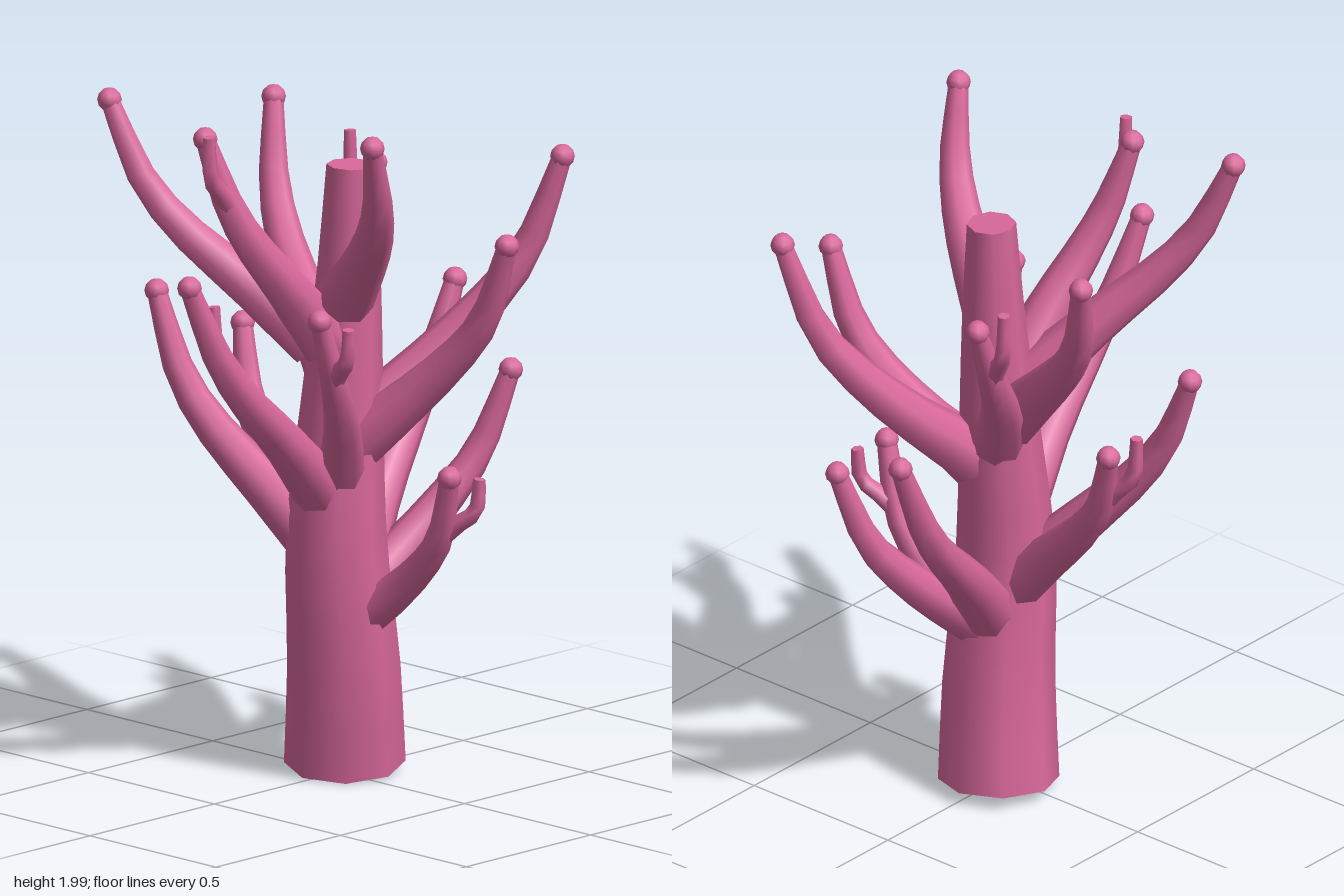
import * as THREE from 'three';
import { mergeGeometries } from 'three/addons/utils/BufferGeometryUtils.js';

const pink = new THREE.MeshStandardMaterial({ color: 0xd9689b });
pink.name = 'coral pink';

// Tapered tube through points, closed by flat caps; radii are spread evenly along it
function taperedTube(points, radii, segments, sides) {
  const curve = new THREE.CatmullRomCurve3(points);
  const tube = new THREE.TubeGeometry(curve, segments, 1, sides);
  const pos = tube.attributes.position;
  const v = new THREE.Vector3();
  for (let i = 0; i <= segments; i++) {
    const centre = curve.getPointAt(i / segments);
    const t = (i / segments) * (radii.length - 1);
    const k = Math.min(Math.floor(t), radii.length - 2);
    const r = THREE.MathUtils.lerp(radii[k], radii[k + 1], t - k);
    for (let j = 0; j <= sides; j++) {
      const n = i * (sides + 1) + j;
      v.fromBufferAttribute(pos, n).sub(centre).multiplyScalar(r).add(centre);
      pos.setXYZ(n, v.x, v.y, v.z);
    }
  }
  // End caps as fans whose winding is checked against the outward direction
  const caps = [];
  for (const end of [0, 1]) {
    const centre = curve.getPointAt(end);
    const outward = curve.getTangentAt(end).multiplyScalar(end ? 1 : -1);
    for (let j = 0; j < sides; j++) {
      const n = end * segments * (sides + 1) + j;
      const a = new THREE.Vector3().fromBufferAttribute(pos, n);
      const b = new THREE.Vector3().fromBufferAttribute(pos, n + 1);
      const normal = a.clone().sub(centre).cross(b.clone().sub(centre));
      caps.push(...(normal.dot(outward) > 0 ? [centre, a, b] : [centre, b, a]));
    }
  }
  const capGeo = new THREE.BufferGeometry().setFromPoints(caps);
  capGeo.computeVertexNormals();
  const body = tube.toNonIndexed();
  body.deleteAttribute('uv');
  return mergeGeometries([body, capGeo]);
}

// Point part of the way from a to b, with separate shares for the plan and the height
function between(a, b, plan, height) {
  const p = a.clone().lerp(b, plan);
  p.y = THREE.MathUtils.lerp(a.y, b.y, height);
  return p;
}

// Branches run outward first, then turn up, and all bow the same way round the trunk
function branchPath(baseY, tip, sag) {
  const root = new THREE.Vector3(0.015, baseY, 0.005);
  const bow = new THREE.Vector3(tip.z - root.z, 0, root.x - tip.x).setLength(0.038);
  const middle = (plan, height, bend) => {
    const p = between(root, tip, plan, height).addScaledVector(bow, bend);
    p.y -= sag;
    return p;
  };
  return [
    between(root, tip, 0.12, 0),
    middle(0.42, 0.26, 0.8),
    middle(0.66, 0.46, 1),
    middle(0.84, 0.66, 0.8),
    tip,
  ];
}

// Height of the base on the trunk, tip, base radius and, on some, extra sag or the end of a twig
const branches = [
  { baseY: 0.46, tip: [0.43, 0.94, -0.01], r: 0.072, sag: 0.03, twig: [0.47, 0.93, -0.09] },
  { baseY: 0.52, tip: [0.18, 1.12, -0.51], r: 0.08, sag: 0.03 },
  { baseY: 0.57, tip: [-0.16, 1.3, -0.63], r: 0.085 },
  { baseY: 0.64, tip: [-0.46, 1.22, -0.08], r: 0.08, twig: [-0.505, 1.27, -0.01] },
  { baseY: 0.67, tip: [-0.505, 1.36, 0.22], r: 0.085 },
  { baseY: 0.84, tip: [0.03, 1.54, 0.63], r: 0.085 },
  { baseY: 0.87, tip: [0.26, 1.43, 0.34], r: 0.075, twig: [0.355, 1.42, 0.32] },
  { baseY: 0.99, tip: [0.5, 1.6, -0.17], r: 0.085, sag: 0.02 },
  { baseY: 1.04, tip: [0.385, 1.78, -0.51], r: 0.085, sag: 0.03 },
  { baseY: 1.11, tip: [-0.24, 1.67, -0.39], r: 0.08, twig: [-0.33, 1.75, -0.38] },
  { baseY: 1.18, tip: [-0.505, 1.84, -0.25], r: 0.085 },
  { baseY: 1.28, tip: [-0.115, 1.91, 0.42], r: 0.085, twig: [-0.04, 1.94, 0.48] },
  { baseY: 1.27, tip: [-0.485, 1.96, 0.43], r: 0.085 },
  { baseY: 1.41, tip: [0.43, 1.96, 0.3], r: 0.085 },
];

export function createModel() {
  const model = new THREE.Group();
  model.name = 'coral';
  const add = (geometry, name, parent) => {
    const mesh = new THREE.Mesh(geometry, pink);
    mesh.name = name;
    parent.add(mesh);
    return mesh;
  };

  // Leaning trunk, cut flat at both ends
  const trunkPath = [
    [-0.015, 0.027, -0.04], [0.01, 0.33, -0.01], [0.015, 0.7, 0.025],
    [0.015, 1.1, 0], [0.02, 1.45, -0.02], [0.025, 1.78, -0.025],
  ].map((p) => new THREE.Vector3(...p));
  add(taperedTube(trunkPath, [0.172, 0.158, 0.142, 0.118, 0.093, 0.07], 12, 8), 'trunk', model);

  // Branches with round tips, some with a thin hooked twig
  branches.forEach(({ baseY, tip, r, sag = 0, twig }, i) => {
    const group = new THREE.Group();
    group.name = `branch${i + 1}`;
    model.add(group);
    const path = branchPath(baseY, new THREE.Vector3(...tip), sag);
    add(taperedTube(path, [r, r * 0.8, r * 0.65, r * 0.5, 0.028], 8, 8), 'stem', group);
    add(new THREE.SphereGeometry(0.035, 8, 6), 'tip', group).position.copy(path[4]);
    if (twig) {
      const start = path[3];
      const end = new THREE.Vector3(...twig);
      const twigPath = [start, between(start, end, 0.45, 0.25), between(start, end, 0.9, 0.48), end];
      add(taperedTube(twigPath, [0.03, 0.024, 0.018], 6, 6), 'twig', group);
    }
  });
  return model;
}
